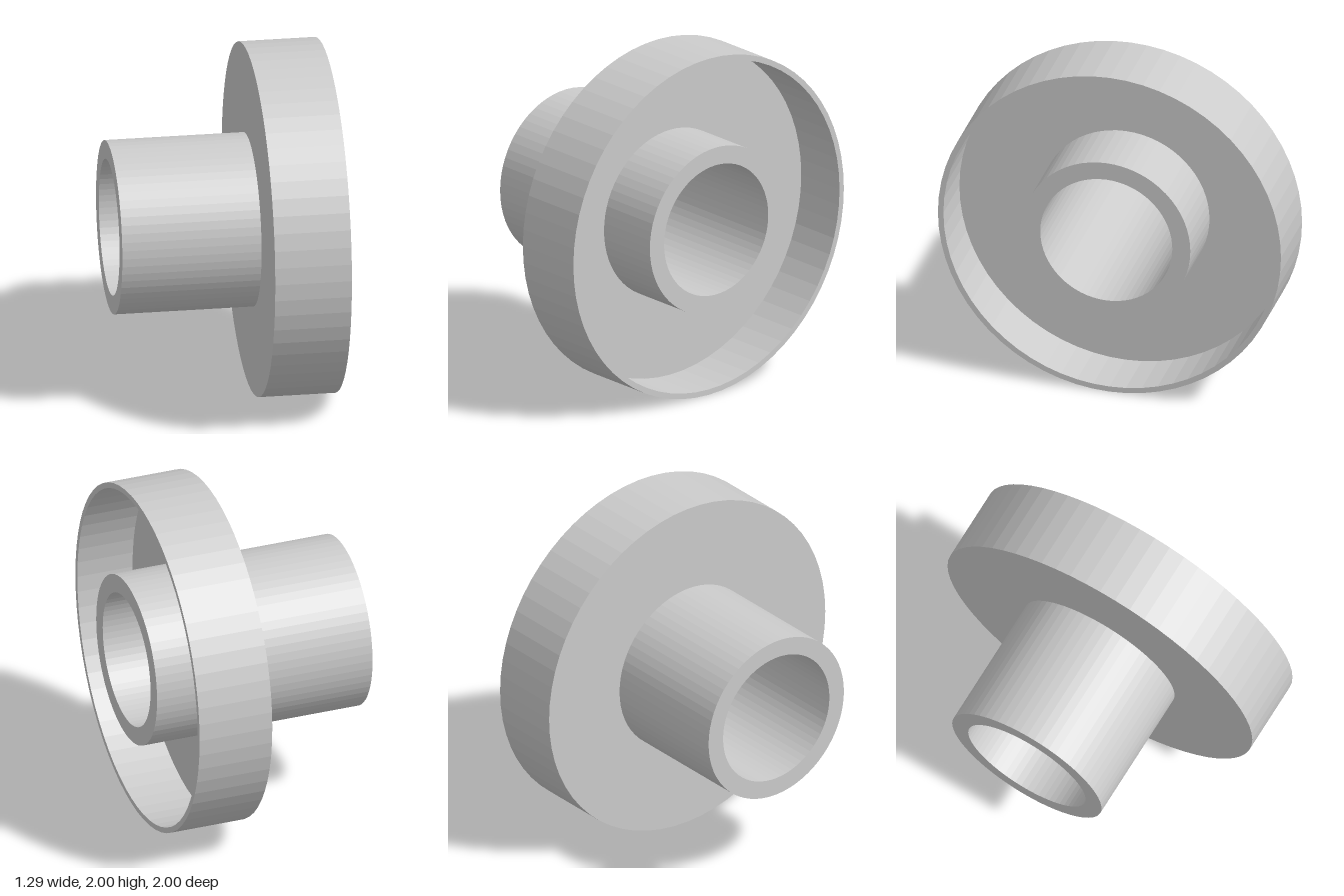
import * as THREE from 'three';

const SIDES = 64;
const BORE = 0.385, HUB = 0.49, RIM = 1, RIM_INNER = 0.968;
const END = 0.645, SLOT_END = 0.54, BACK = 0.145, FLOOR = 0.25, FRONT = 0.58;
const STEP = (Math.PI * 2) / SIDES;
const SLOT_ANGLE = 2 * STEP;

export function createModel() {
  const group = new THREE.Group();
  const material = new THREE.MeshStandardMaterial({ color: 0xcccccc, flatShading: true });

  // Revolves [radius, x] points around the horizontal x axis through y = 1
  function revolve(name, points, sides = SIDES, start = 0, length = Math.PI * 2) {
    const profile = points.map(([r, x]) => new THREE.Vector2(r, x));
    const geometry = new THREE.LatheGeometry(profile, sides, start, length);
    geometry.rotateZ(-Math.PI / 2);
    const mesh = new THREE.Mesh(geometry, material);
    mesh.name = name;
    mesh.position.y = 1;
    group.add(mesh);
  }

  // Long sleeve behind the flange, with its ring end and a bit of bore
  revolve('rearSleeve', [[BORE, -SLOT_END], [BORE, -END], [HUB, -END], [HUB, BACK]]);

  // Thin-rimmed cup, open towards +x
  revolve('cupFlange', [
    [HUB, BACK], [RIM, BACK], [RIM, FRONT], [RIM_INNER, FRONT], [RIM_INNER, FLOOR], [HUB, FLOOR],
  ]);

  // Collar rising from the cup floor, slightly proud of the rim
  revolve('frontCollar', [[HUB, FLOOR], [HUB, END], [BORE, END], [BORE, SLOT_END]]);

  // Bore wall between the ends, left open at the top for the groove
  revolve('bore', [[BORE, SLOT_END], [BORE, -SLOT_END]], SIDES - 2,
    Math.PI * 1.5 + SLOT_ANGLE / 2, Math.PI * 2 - SLOT_ANGLE);

  // Shallow blind groove along the top of the bore: an inward-facing box without its bottom
  const width = 2 * BORE * Math.sin(SLOT_ANGLE / 2);
  const low = BORE * Math.cos(SLOT_ANGLE / 2), high = BORE + 0.05;
  const box = new THREE.BoxGeometry(SLOT_END * 2, high - low, width);
  const index = Array.from(box.index.array);
  index.splice(18, 6);
  box.setIndex(index);
  box.clearGroups();
  const inside = material.clone();
  inside.side = THREE.BackSide;
  const groove = new THREE.Mesh(box, inside);
  groove.name = 'boreGroove';
  groove.position.y = 1 + (low + high) / 2;
  group.add(groove);

  return group;
}
